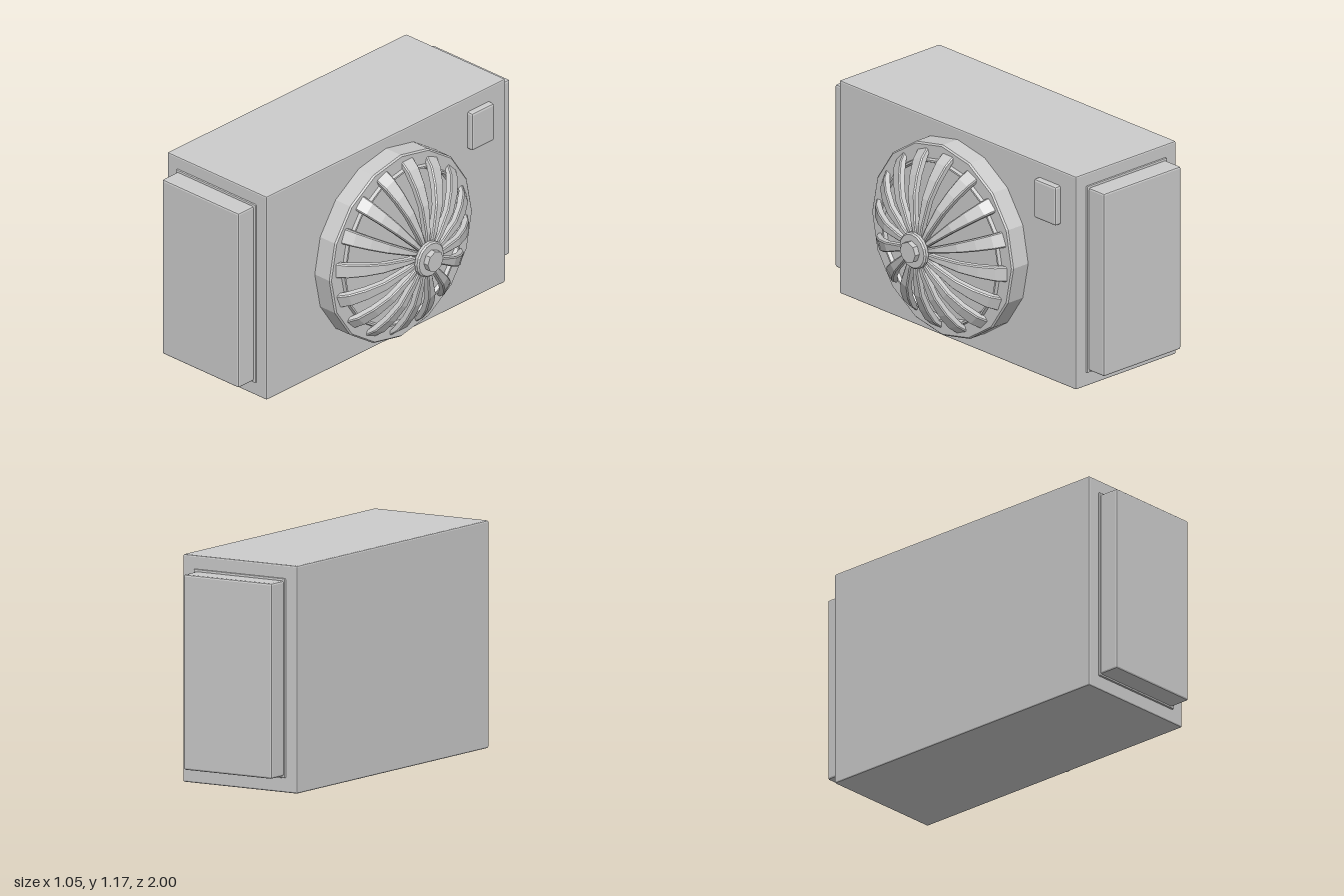
import * as THREE from 'three';
import { RoundedBoxGeometry } from 'three/addons/geometries/RoundedBoxGeometry.js';

const CENTRE_Y = 0.59;
const BLADES = 16;

export function createModel() {
  const model = new THREE.Group();
  const grey = new THREE.MeshStandardMaterial({ color: 0xcccccc, flatShading: true });

  function add(parent, name, geometry, x = 0, y = 0, z = 0) {
    const mesh = new THREE.Mesh(geometry, grey);
    mesh.name = name;
    mesh.position.set(x, y, z);
    parent.add(mesh);
    return mesh;
  }

  // box with narrow chamfered edges, given by its limits
  function box(name, x0, x1, y0, y1, z0, z1, bevel = 0.008) {
    const g = new RoundedBoxGeometry(x1 - x0, y1 - y0, z1 - z0, 1, bevel);
    return add(model, name, g, (x0 + x1) / 2, (y0 + y1) / 2, (z0 + z1) / 2);
  }

  // turned part: profile of [radius, height], axis laid along +x
  function turned(parent, name, profile, sides) {
    const g = new THREE.LatheGeometry(profile.map(([r, h]) => new THREE.Vector2(r, h)), sides);
    g.rotateZ(-Math.PI / 2);
    return add(parent, name, g);
  }

  // casing
  box('casing', -0.525, 0.175, 0, 1.175, -0.88, 0.88);
  for (const s of [1, -1]) {
    const end = s > 0 ? 'front' : 'back';
    const a = s * 0.86, b = s * 0.89, c = s;
    box(end + 'PanelFlange', -0.455, 0.105, 0.075, 1.105, Math.min(a, b), Math.max(a, b), 0.006);
    box(end + 'Panel', -0.447, 0.092, 0.085, 1.093, Math.min(a, c), Math.max(a, c), 0.01);
  }
  box('controlBox', 0.15, 0.21, 0.877, 1.092, -0.765, -0.6, 0.012);

  // fan unit, turned about the x axis
  const fan = new THREE.Group();
  fan.name = 'fan';
  fan.position.y = CENTRE_Y;
  model.add(fan);

  turned(fan, 'fanRing', [
    [0.525, 0.17], [0.525, 0.277], [0.517, 0.285], [0.445, 0.285],
    [0.44, 0.303], [0.43, 0.303], [0.422, 0.285], [0, 0.285],
  ], 16);

  // blades curve from the ring up to the hub and widen outwards
  const blade = bladeGeometry();
  for (let i = 0; i < BLADES; i++) {
    add(fan, 'fanBlade', blade).rotation.x = (i * 2 * Math.PI) / BLADES;
  }

  turned(fan, 'hub', [
    [0, 0.462], [0.088, 0.462], [0.098, 0.47], [0.098, 0.487], [0.09, 0.495], [0, 0.495],
  ], 16);
  turned(fan, 'hubNut', [[0.057, 0.49], [0.057, 0.525], [0, 0.525]], 8);
  return model;
}

// loft of a chamfered section along the dome-shaped [x, radius] path
function bladeGeometry() {
  const path = [
    [0.283, 0.485], [0.333, 0.445], [0.385, 0.37], [0.43, 0.275], [0.458, 0.14], [0.465, 0.035],
  ];
  const thick = 0.032, bevel = 0.006, n = 6;
  const pos = [], index = [];
  path.forEach(([x, r], i) => {
    const p = path[Math.max(i - 1, 0)], q = path[Math.min(i + 1, path.length - 1)];
    const normal = new THREE.Vector2(p[1] - q[1], q[0] - p[0]).normalize();
    const w = 0.016 + r * 0.138;
    const section = [
      [0, -thick], [0, -bevel], [bevel, 0], [w - bevel, 0], [w, -bevel], [w, -thick],
    ];
    for (const [t, d] of section) {
      pos.push(Math.max(x + normal.x * d, 0.28), r + normal.y * d, -0.002 - t);
    }
  });
  for (let i = 0; i < path.length - 1; i++) {
    for (let j = 0; j < n; j++) {
      const a = i * n + j, b = i * n + ((j + 1) % n);
      index.push(a, a + n, b, b, a + n, b + n);
    }
  }
  // end caps
  const last = (path.length - 1) * n;
  for (let j = 1; j < n - 1; j++) {
    index.push(0, j, j + 1, last, last + j + 1, last + j);
  }
  const g = new THREE.BufferGeometry();
  g.setAttribute('position', new THREE.Float32BufferAttribute(pos, 3));
  g.setIndex(index);
  g.computeVertexNormals();
  return g;
}
